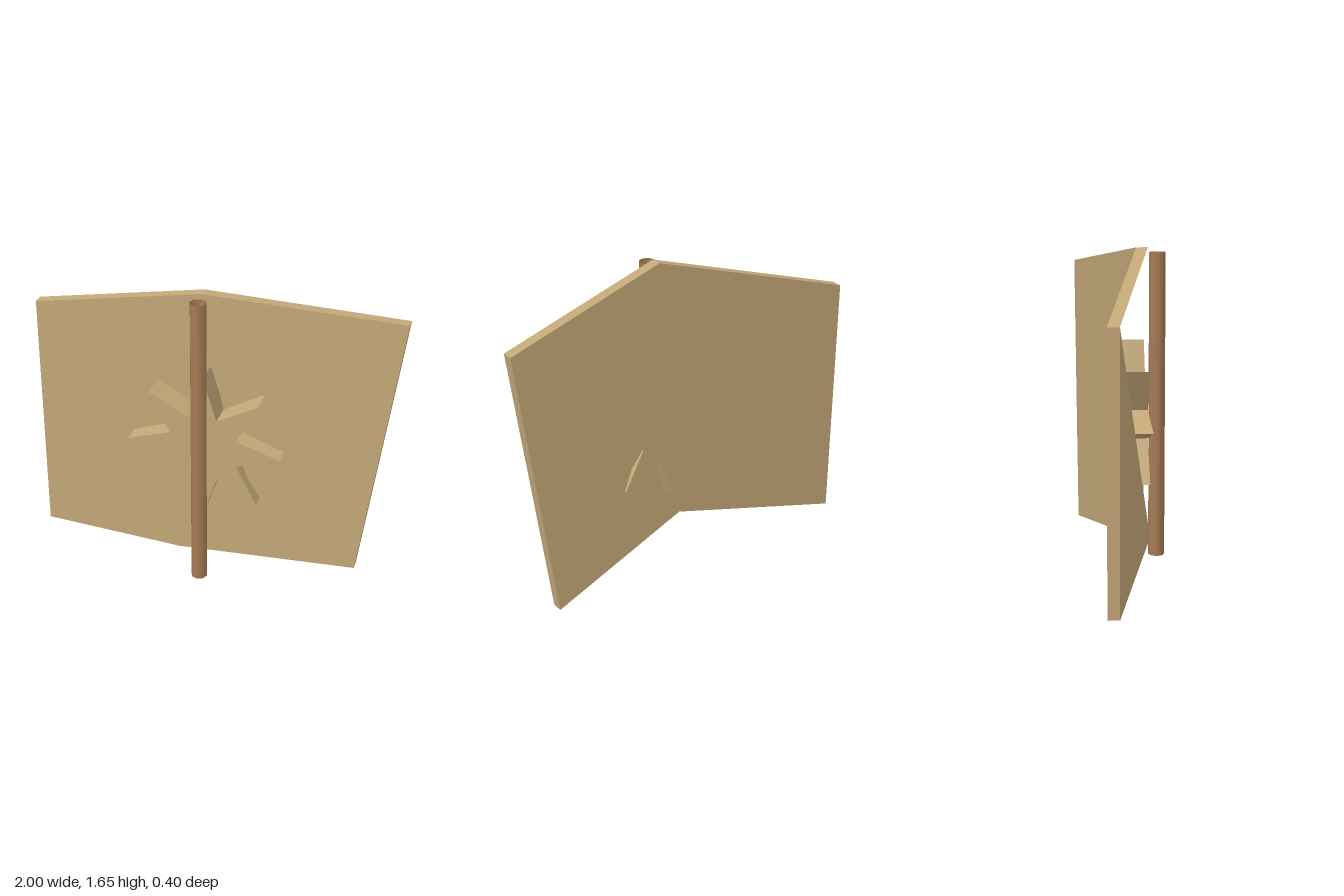
import * as THREE from 'three';

// Warped plank: outline corners (counter-clockwise from the front) as x, y, front z
const CORNERS = [
  [-1, 0, -0.14], [-0.13, 0.13, 0.11], [0.8, 0, -0.14],
  [1, 1.5, -0.14], [0, 1.65, 0.11], [-1, 1.375, -0.14],
];
const FACES = [[0, 1, 5], [1, 2, 3], [1, 3, 5], [3, 4, 5]];
const THICKNESS = 0.06;

function boardGeometry() {
  const positions = [], normals = [];
  const front = CORNERS.map((c) => new THREE.Vector3(...c));
  const back = CORNERS.map(([x, y, z]) => new THREE.Vector3(x, y, z - THICKNESS));
  const triangle = (a, b, c, n) => {
    for (const p of [a, b, c]) {
      positions.push(p.x, p.y, p.z);
      normals.push(n.x, n.y, n.z);
    }
  };

  // Front and back are shaded as even, uncreased panels
  const forward = new THREE.Vector3(0, 0, 1), backward = new THREE.Vector3(0, 0, -1);
  for (const [a, b, c] of FACES) {
    triangle(front[a], front[b], front[c], forward);
    triangle(back[c], back[b], back[a], backward);
  }

  // Rim around the outline
  for (let i = 0; i < front.length; i++) {
    const j = (i + 1) % front.length;
    const edge = front[j].clone().sub(front[i]);
    const n = new THREE.Vector3(edge.y, -edge.x, 0).normalize();
    triangle(front[i], back[i], back[j], n);
    triangle(front[i], back[j], front[j], n);
  }

  const geometry = new THREE.BufferGeometry();
  geometry.setAttribute('position', new THREE.Float32BufferAttribute(positions, 3));
  geometry.setAttribute('normal', new THREE.Float32BufferAttribute(normals, 3));
  return geometry;
}

function starGeometry(points, outer, inner, depth) {
  const outline = [];
  for (let i = 0; i < points * 2; i++) {
    const a = (i * Math.PI) / points, r = i % 2 ? inner : outer;
    outline.push(new THREE.Vector2(Math.cos(a) * r, Math.sin(a) * r));
  }
  return new THREE.ExtrudeGeometry(new THREE.Shape(outline), { depth, bevelEnabled: false });
}

export function createModel() {
  const paleWood = new THREE.MeshStandardMaterial({ color: 0xc4a878 });
  paleWood.name = 'paleWood';
  const poleWood = new THREE.MeshStandardMaterial({ color: 0xa67c55, side: THREE.DoubleSide });
  poleWood.name = 'poleWood';

  const model = new THREE.Group();
  model.name = 'starSign';
  const add = (name, geometry, material, x, y, z) => {
    const mesh = new THREE.Mesh(geometry, material);
    mesh.name = name;
    mesh.position.set(x, y, z);
    model.add(mesh);
  };

  add('board', boardGeometry(), paleWood, 0, 0, 0);

  // Eight-pointed star, passing through the board
  add('star', starGeometry(8, 0.415, 0.195, 0.15), paleWood, 0, 0.755, -0.06);

  // Open-ended pole in front
  add('pole', new THREE.CylinderGeometry(0.0435, 0.0435, 1.625, 8, 1, true), poleWood, 0, 0.8125, 0.16);

  return model;
}
